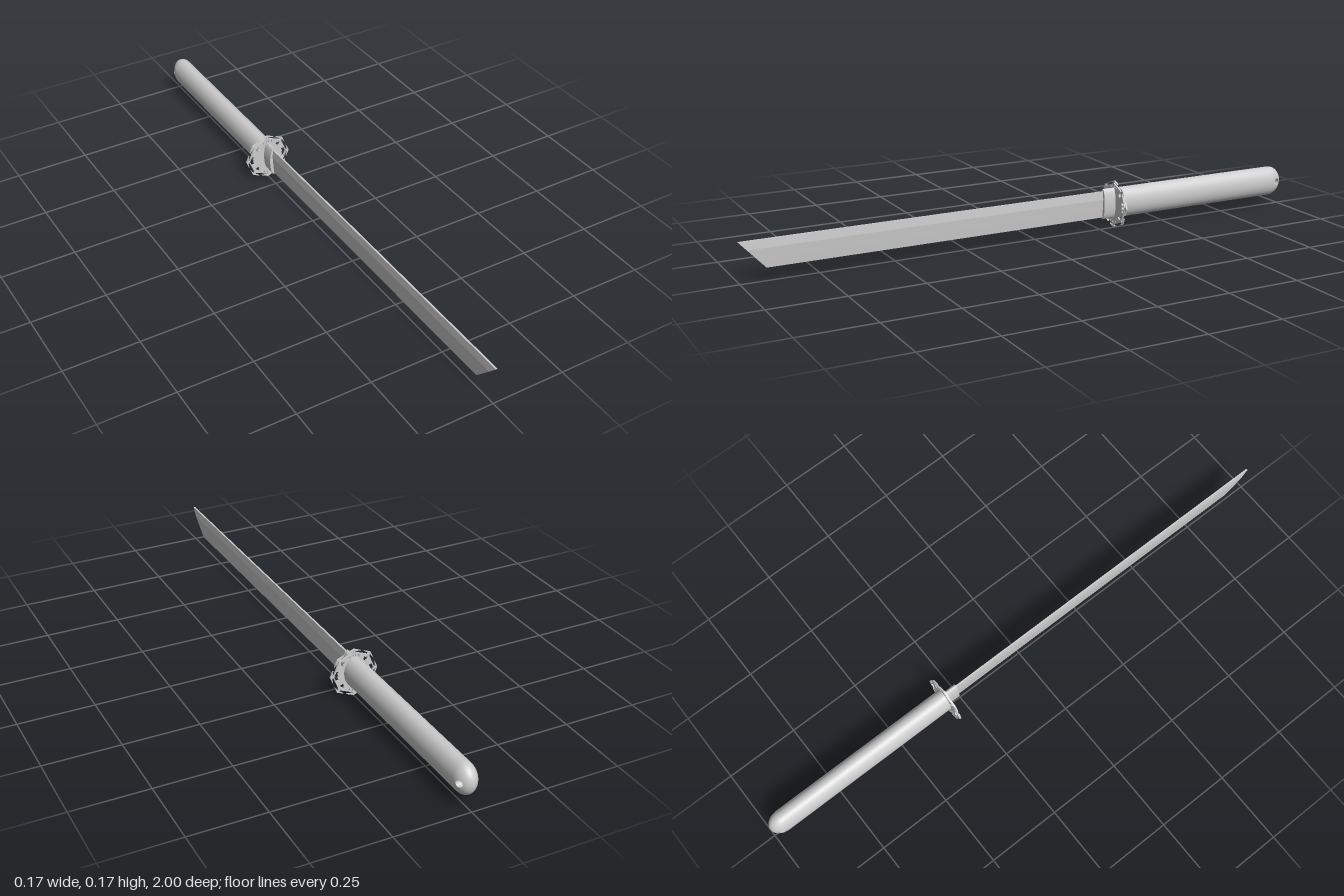
import * as THREE from 'three';

const mat = new THREE.MeshStandardMaterial({ color: 0xcccccc });
const matDouble = new THREE.MeshStandardMaterial({ color: 0xcccccc, side: THREE.DoubleSide });

const GRIP = { y: 0.088, rx: 0.035, ry: 0.052, front: -0.308, capStart: -0.93, roundStart: -0.95, round: 0.05 };
const HOLE = { z: -0.973, r: 0.012 };

function add(group, name, geometry, material = mat) {
  const mesh = new THREE.Mesh(geometry, material);
  mesh.name = name;
  group.add(mesh);
  return mesh;
}

// Elliptical cylinder along z, from z0 to z1
function ellipseBar(rx, ry, y, z0, z1) {
  return new THREE.CylinderGeometry(1, 1, z1 - z0, 64)
    .rotateX(Math.PI / 2)
    .scale(rx, ry, 1)
    .translate(0, y, (z0 + z1) / 2);
}

// Half-thickness of the rounded pommel at (z, y), y relative to the grip axis
function capPoint(z, y) {
  const u = Math.max(0, (GRIP.roundStart - z) / GRIP.round);
  const v = y / GRIP.ry;
  const x = GRIP.rx * Math.sqrt(Math.max(0, 1 - u * u - v * v));
  const normal = new THREE.Vector3(x / GRIP.rx ** 2, v / GRIP.ry, -u / GRIP.round).normalize();
  return { x, normal };
}

// One side of the pommel: rings that spread from the lanyard hole to the silhouette
function pommelSide(side) {
  const outline = [];
  for (let i = 0; i < 24; i++) outline.push([GRIP.capStart, -GRIP.ry * Math.cos((Math.PI * i) / 24)]);
  for (let i = 0; i < 4; i++) outline.push([GRIP.capStart + (GRIP.roundStart - GRIP.capStart) * i / 4, GRIP.ry]);
  for (let i = 0; i < 32; i++) {
    const a = (Math.PI * i) / 32;
    outline.push([GRIP.roundStart - GRIP.round * Math.sin(a), GRIP.ry * Math.cos(a)]);
  }
  for (let i = 0; i <= 4; i++) outline.push([GRIP.roundStart + (GRIP.capStart - GRIP.roundStart) * i / 4, -GRIP.ry]);

  const rings = 12, n = outline.length, pos = [], nor = [], idx = [];
  for (let i = 0; i <= rings; i++) {
    const t = 1 - (1 - i / rings) ** 2;
    for (const [bz, by] of outline) {
      const a = Math.atan2(by, bz - HOLE.z);
      const z = THREE.MathUtils.lerp(HOLE.z + HOLE.r * Math.cos(a), bz, t);
      const y = THREE.MathUtils.lerp(HOLE.r * Math.sin(a), by, t);
      const { x, normal } = capPoint(z, y);
      pos.push(side * x, GRIP.y + y, z);
      nor.push(side * normal.x, normal.y, normal.z);
    }
  }
  for (let i = 0; i < rings; i++) {
    for (let j = 0; j < n - 1; j++) {
      const a = i * n + j, b = a + n, c = b + 1, d = a + 1;
      if (side > 0) idx.push(a, c, b, a, d, c);
      else idx.push(a, b, c, a, c, d);
    }
  }
  const g = new THREE.BufferGeometry();
  g.setAttribute('position', new THREE.Float32BufferAttribute(pos, 3));
  g.setAttribute('normal', new THREE.Float32BufferAttribute(nor, 3));
  g.setIndex(idx);
  return g;
}

// Wall of the lanyard hole, its ends trimmed to the pommel surface
function holeWall() {
  const g = new THREE.CylinderGeometry(HOLE.r, HOLE.r, 2, 48, 1, true).rotateZ(Math.PI / 2);
  const p = g.attributes.position;
  for (let i = 0; i < p.count; i++) {
    const y = p.getY(i), z = p.getZ(i) + HOLE.z;
    p.setXYZ(i, Math.sign(p.getX(i)) * capPoint(z, y).x, y + GRIP.y, z);
  }
  return g;
}

// Thin octagonal guard: arrowhead at each corner and pierced ornaments
function guardGeometry() {
  const place = (k, pts) => pts.map(([r, t]) => {
    const a = (k * Math.PI) / 4;
    return new THREE.Vector2(r * Math.cos(a) - t * Math.sin(a), r * Math.sin(a) + t * Math.cos(a));
  });
  const mirrored = (half) => [...half, ...half.filter(([, t]) => t > 0).reverse().map(([r, t]) => [r, -t])];
  const corner = [[0.0715, -0.004], [0.0765, -0.0025], [0.073, -0.024], [0.083, 0],
    [0.073, 0.024], [0.0765, 0.0025], [0.0715, 0.004]];
  const star = mirrored([[0.067, 0], [0.0605, 0.004], [0.0595, 0.011], [0.055, 0.006], [0.049, 0.007], [0.051, 0]]);
  const wing = mirrored([[0.070, 0], [0.062, 0.017], [0.052, 0.015], [0.057, 0.006], [0.054, 0]]);
  const slits = [[[0.067, 0.002], [0.064, 0.006], [0.056, 0.0045]], [[0.063, 0.013], [0.060, 0.019], [0.052, 0.017]]];

  const outline = [];
  for (let k = 0; k < 8; k++) outline.push(...place(k, corner));
  const shape = new THREE.Shape(outline);
  for (let k = 0; k < 8; k++) {
    if (k % 2) shape.holes.push(new THREE.Path(place(k, star)));
    else if (k % 4 === 0) shape.holes.push(new THREE.Path(place(k, wing)));
    else for (const slit of slits) for (const s of [1, -1])
      shape.holes.push(new THREE.Path(place(k, slit.map(([r, t]) => [r, s * t]))));
  }
  return new THREE.ExtrudeGeometry(shape, { depth: 0.006, bevelEnabled: false }).translate(0, 0.083, -0.309);
}

// Straight single-edged blade with its tip cut on a slant
function bladeGeometry() {
  const top = 0.133, edge = 0.041, base = -0.29;
  const half = [[0, edge], [0.0025, 0.07], [0.005, 0.105], [0.003, top]];
  const section = [...half, ...half.slice(1).reverse().map(([x, y]) => [-x, y])];
  const shape = new THREE.Shape(section.map(([x, y]) => new THREE.Vector2(x, y)));
  const g = new THREE.ExtrudeGeometry(shape, { depth: 1, bevelEnabled: false });
  const p = g.attributes.position;
  for (let i = 0; i < p.count; i++) {
    const tip = 1 - (top - p.getY(i)) * 0.92;
    p.setZ(i, p.getZ(i) > 0.5 ? tip : base);
  }
  g.computeVertexNormals();
  return g;
}

export function createModel() {
  const model = new THREE.Group();
  model.name = 'shortSword';

  add(model, 'blade', bladeGeometry());
  add(model, 'bladeCollar', ellipseBar(0.015, 0.053, GRIP.y, -0.306, -0.26));
  add(model, 'guard', guardGeometry());

  const handle = new THREE.Group();
  handle.name = 'handle';
  add(handle, 'grip', ellipseBar(GRIP.rx, GRIP.ry, GRIP.y, GRIP.capStart, GRIP.front));
  for (const side of [1, -1]) add(handle, side > 0 ? 'pommelLeft' : 'pommelRight', pommelSide(side));
  add(handle, 'lanyardHole', holeWall(), matDouble);
  model.add(handle);

  return model;
}
